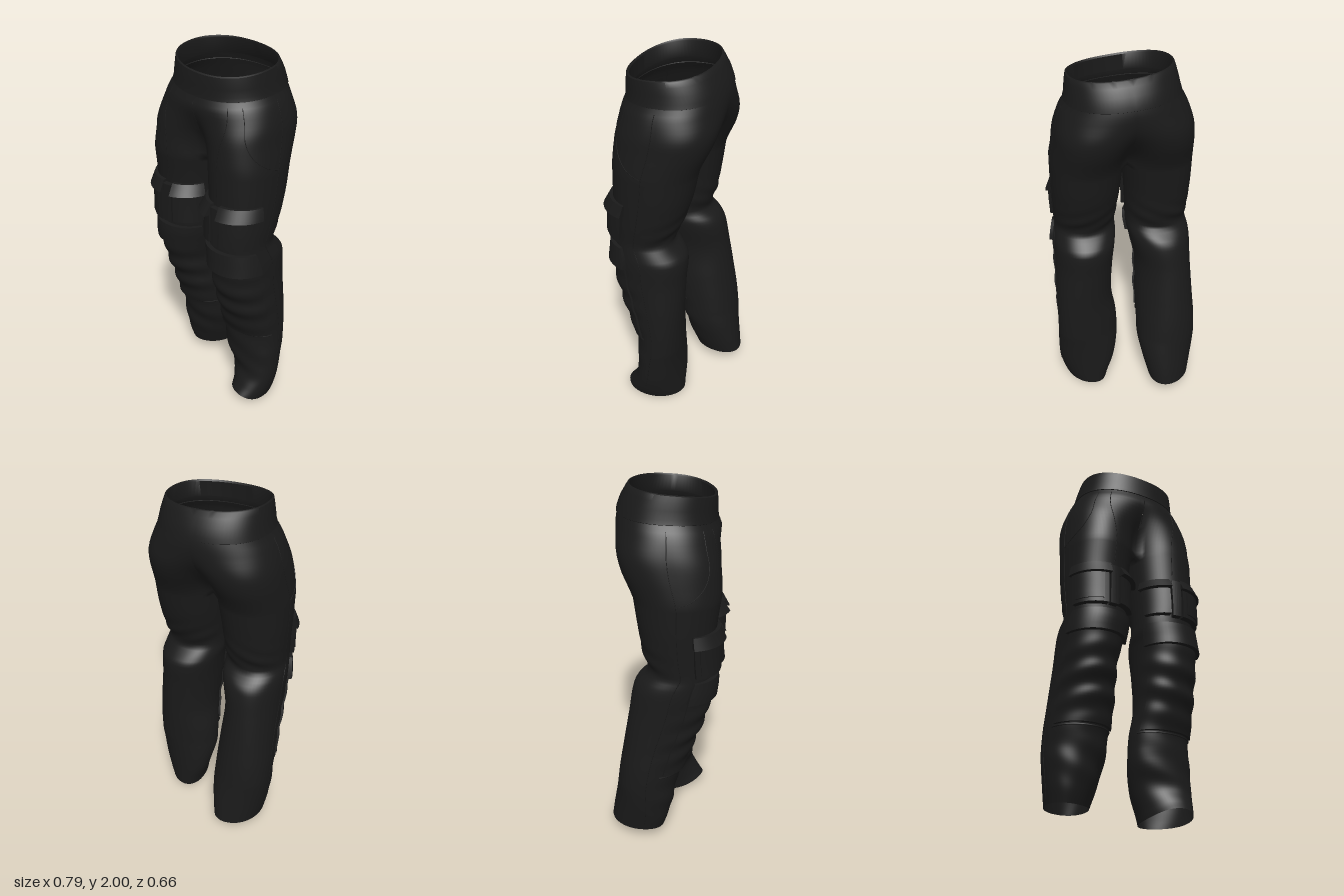
import * as THREE from 'three';
import { mergeGeometries, mergeVertices, toCreasedNormals } from 'three/addons/utils/BufferGeometryUtils.js';

const CROTCH = 1.46;
const OUTER = 300 / 360; // share of a leg ring that runs round the outside

// Hips: y, half width, back z, front z
const HIPS = [
  [1.98, .264, -.212, .23], [1.9, .278, -.256, .233], [1.85, .29, -.273, .237], [1.8, .32, -.281, .258],
  [1.7, .353, -.282, .262], [1.6, .368, -.253, .265], [1.5, .38, -.204, .267], [1.46, .383, -.188, .267],
];
// Legs: y, inner x, outer x, back z, front z (x mirrored for the right leg)
const LEFT = [
  [1.46, 0, .383, -.188, .267], [1.3, .012, .38, -.155, .268], [1.15, .025, .372, -.105, .27],
  [1.05, .03, .363, -.064, .268], [1, .03, .37, -.1, .268], [.95, .04, .378, -.138, .265],
  [.8, .055, .38, -.135, .25], [.6, .065, .387, -.13, .19], [.45, .045, .389, -.127, .14],
  [.3, .045, .389, -.125, .13], [.15, .075, .383, -.122, .118], [.05, .108, .365, -.12, .155], [0, .12, .348, -.12, .185],
];
const RIGHT = [
  [1.46, 0, .383, -.188, .267], [1.3, .02, .38, -.165, .247], [1.15, .03, .372, -.14, .24],
  [1.05, .035, .368, -.113, .238], [1, .035, .375, -.165, .235], [.95, .045, .378, -.192, .225],
  [.8, .075, .378, -.217, .19], [.6, .065, .383, -.25, .12], [.45, .06, .39, -.275, .07],
  [.3, .06, .388, -.295, .035], [.15, .085, .37, -.316, -.002], [.06, .105, .355, -.326, -.035],
];

// Smooth lookup in a table sorted from high y to low y
function lookup(table, y) {
  const n = table.length - 1;
  y = THREE.MathUtils.clamp(y, table[n][0], table[0][0]);
  let i = 0;
  while (i < n - 1 && y < table[i + 1][0]) i++;
  const p = table[i], q = table[i + 1], o = table[Math.max(i - 1, 0)], r = table[Math.min(i + 2, n)];
  const h = q[0] - p[0], u = (y - p[0]) / h, u2 = u * u, u3 = u2 * u;
  return p.slice(1).map((v, k) => {
    k++;
    const m0 = (q[k] - o[k]) / (q[0] - o[0]) * h, m1 = (r[k] - p[k]) / (r[0] - p[0]) * h;
    return (2 * u3 - 3 * u2 + 1) * v + (u3 - 2 * u2 + u) * m0 + (3 * u2 - 2 * u3) * q[k] + (u3 - u2) * m1;
  });
}
const spow = (v, e) => Math.sign(v) * Math.abs(v) ** e;
const bump = (y, c, w) => Math.exp(-(((y - c) / w) ** 2));
const tOf = deg => (deg + 60) / 360; // 0 = front of the leg, 90 = outer side
const waistFade = y => THREE.MathUtils.clamp((y - 1.6) / .38, 0, 1);

// Horizontal position on one half of the cloth, before mirroring
function flat(s, t, y) {
  const a = (t * 360 - 60) * Math.PI / 180;
  let xi = 0, xo, zb, zf;
  if (y > CROTCH) [xo, zb, zf] = lookup(HIPS, y);
  else [xi, xo, zb, zf] = lookup(s > 0 ? LEFT : RIGHT, y);
  const cz = (zb + zf) / 2, rz = (zf - zb) / 2, cx = (xi + xo) / 2, rx = (xo - xi) / 2;
  // The calves swing back on the outside and the hems turn forward
  const shear = .35 * Math.max(0, 1 - y / .35) - .1 * bump(y, .6, .25);
  const dx = rx * spow(Math.sin(a), .94);
  const leg = [cx + dx, cz + rz * spow(Math.cos(a), .94) + shear * dx];
  if (y <= CROTCH) return leg;
  const b = t / OUTER * Math.PI, w = 1 - THREE.MathUtils.smoothstep(y, CROTCH, 1.82);
  const hip = [xo * spow(Math.sin(b), .9), cz + rz * spow(Math.cos(b), .9)];
  return [hip[0] + (leg[0] - hip[0]) * w, hip[1] + (leg[1] - hip[1]) * w];
}

// Full 3D point: offset along the normal, folds, slanted waist and hems
function surf(s, t, y, off = 0) {
  const e = .004, [x, z] = flat(s, t, y), p = flat(s, t - e, y), q = flat(s, t + e, y);
  const tx = q[0] - p[0], tz = q[1] - p[1], l = Math.hypot(tx, tz) || 1;
  const a = (t * 360 - 60) * Math.PI / 180, c = Math.cos(a);
  const front = Math.max(c, 0), back = Math.max(-c, 0);
  off += .014 * back * bump(y, 1.67, .1) + .012 * front * bump(y, 1.66, .1)
    + .008 * front * bump(y, .68, .2) * Math.sin(y * 48 + 2.2 * Math.sin(a + s))
    + .005 * front * bump(y, .28, .13) * Math.sin(y * 36 + 3 * Math.sin(a) * s)
    + .004 * back * bump(y, 1.12, .1) * Math.sin(y * 60 + 5 * Math.sin(a));
  const fade = waistFade(y);
  const px = (x - tz / l * off) * s + .015 * fade;
  const pz = z + tx / l * off;
  const low = Math.max(0, 1 - y / .25), hem = ((1 + c) / 2) ** 3;
  const lift = s > 0 ? .05 * hem : .015 - .012 * hem;
  const slant = .07 * px + .07 * pz + .35 * Math.max(pz, 0) ** 2;
  return new THREE.Vector3(px, y - fade * slant + low * lift, pz);
}

// Grid of points to triangles
function grid(nu, nv, flip, point, keep = () => true) {
  const pos = [], idx = [];
  for (let j = 0; j <= nv; j++) for (let i = 0; i <= nu; i++) pos.push(...point(i, j).toArray());
  for (let j = 0; j < nv; j++) for (let i = 0; i < nu; i++) {
    if (!keep(i, j)) continue;
    const a = j * (nu + 1) + i, b = a + 1, c = a + nu + 1, d = c + 1;
    idx.push(...(flip ? [a, b, c, b, d, c] : [a, c, b, b, c, d]));
  }
  const g = new THREE.BufferGeometry();
  g.setAttribute('position', new THREE.Float32BufferAttribute(pos, 3));
  g.setIndex(idx);
  return g;
}

export function createModel() {
  const group = new THREE.Group();
  const cloth = new THREE.MeshStandardMaterial({ color: 0x1a1a1a, side: THREE.DoubleSide });
  const add = (name, geometry) => {
    const mesh = new THREE.Mesh(geometry, cloth);
    mesh.name = name;
    group.add(mesh);
  };
  const weld = parts => {
    const g = mergeVertices(mergeGeometries(parts), 1e-4);
    g.computeVertexNormals();
    return g;
  };

  // Hips and legs: the halves meet on the centre line above the crotch
  const N = 60, NO = N * OUTER, HI = 20, LO = 84;
  add('trousers', weld([1, -1].map(s => {
    const low = s > 0 ? 0 : .06;
    const yAt = j => j <= HI ? 1.965 + (CROTCH - 1.965) * j / HI : CROTCH + (low - CROTCH) * (j - HI) / LO;
    return grid(N, HI + LO, s < 0, (i, j) => {
      const p = surf(s, (i % N) / N, yAt(j));
      if (j <= HI && (i === 0 || i >= NO)) p.x = .015 * waistFade(yAt(j));
      return p;
    }, (i, j) => j >= HI || i < NO);
  })));

  // Waistband with a folded top edge
  const band = [[1.842, -.004], [1.847, .006], [1.87, .007], [1.91, .008], [1.95, .007], [1.976, .005], [1.98, -.002], [1.97, -.01], [1.88, -.012]];
  add('waistband', toCreasedNormals(weld([1, -1].map(s =>
    grid(40, band.length - 1, s < 0, (i, j) => surf(s, i / 40 * OUTER, ...band[j])))), .8));

  // Raised cloth panel, flatter towards the sides, with edges sunk into the leg
  function panel(name, s, d0, d1, y0, y1, top, bottom = top, nu = 14, nv = 6) {
    const at = (i, n) => THREE.MathUtils.clamp((i - 1) / (n - 2), 0, 1);
    const g = grid(nu, nv, s < 0, (i, j) => {
      const u = at(i, nu), v = at(j, nv), d = d0 + (d1 - d0) * u;
      const edge = i === 0 || j === 0 || i === nu || j === nv;
      const taper = .35 + .65 * Math.cos(d * Math.PI / 180);
      return surf(s, tOf(d), y1 + (y0 - y1) * v, edge ? -.008 : (top + (bottom - top) * v) * taper);
    });
    add(name, toCreasedNormals(g, .7));
  }
  // Stitched seam along [degrees, y] points
  function seam(name, s, pts, r = .002) {
    const curve = new THREE.CatmullRomCurve3(pts.map(([d, y]) => surf(s, tOf(d), y, .001)));
    add(name, new THREE.TubeGeometry(curve, 40, r, 5));
  }
  const run = (d0, y0, d1, y1, n = 16) =>
    Array.from({ length: n + 1 }, (_, i) => [d0 + (d1 - d0) * i / n, y0 + (y1 - y0) * i / n]);

  for (const s of [1, -1]) {
    const side = s > 0 ? 'left' : 'right', dy = s > 0 ? -.005 : .005;
    // Thigh pockets, their flaps and the strip between them
    panel(side + 'OuterPocket', s, 5, 66, 1.065, 1.25 + dy, .03, .036);
    panel(side + 'OuterPocketFace', s, 12, 58, 1.085, 1.23 + dy, .036, .042);
    panel(side + 'OuterFlap', s, 2, 68, 1.235 + dy, 1.3 + dy, .02, .054);
    panel(side + 'PocketStrip', s, -11, 2, 1.065, 1.285 + dy, .03, .034);
    panel(side + 'InnerPocket', s, -60, -14, 1.075, 1.25 + dy, .03, .038);
    panel(side + 'InnerFlap', s, -62, -13, 1.235 + dy, 1.295 + dy, .02, .064);
    // Knee strap and padded knee
    panel(side + 'KneeStrap', s, -62, 66, .91 + dy, 1.03 + dy, .026, .042, 24, 6);
    panel(side + 'KneePad', s, -62, 64, .46, .92, .016, .018, 26, 40);
    // Seams
    seam(side + 'SideSeam', s, run(90, 1.82, 90, .09, 40));
    seam(side + 'HipPocketSeam', s, [[23, 1.82], [25, 1.74], [32, 1.64], [48, 1.56], [70, 1.5], [89, 1.47]]);
    seam(side + 'FrontCrease', s, run(-2, 1.82, -6, 1.33));
    seam(side + 'ShinSeam', s, run(-70, .45, 70, .45, 24), .005);
  }
  // Centre front seam
  seam('flySeam', 1, run(-60, 1.82, -60, 1.48));

  return group;
}
